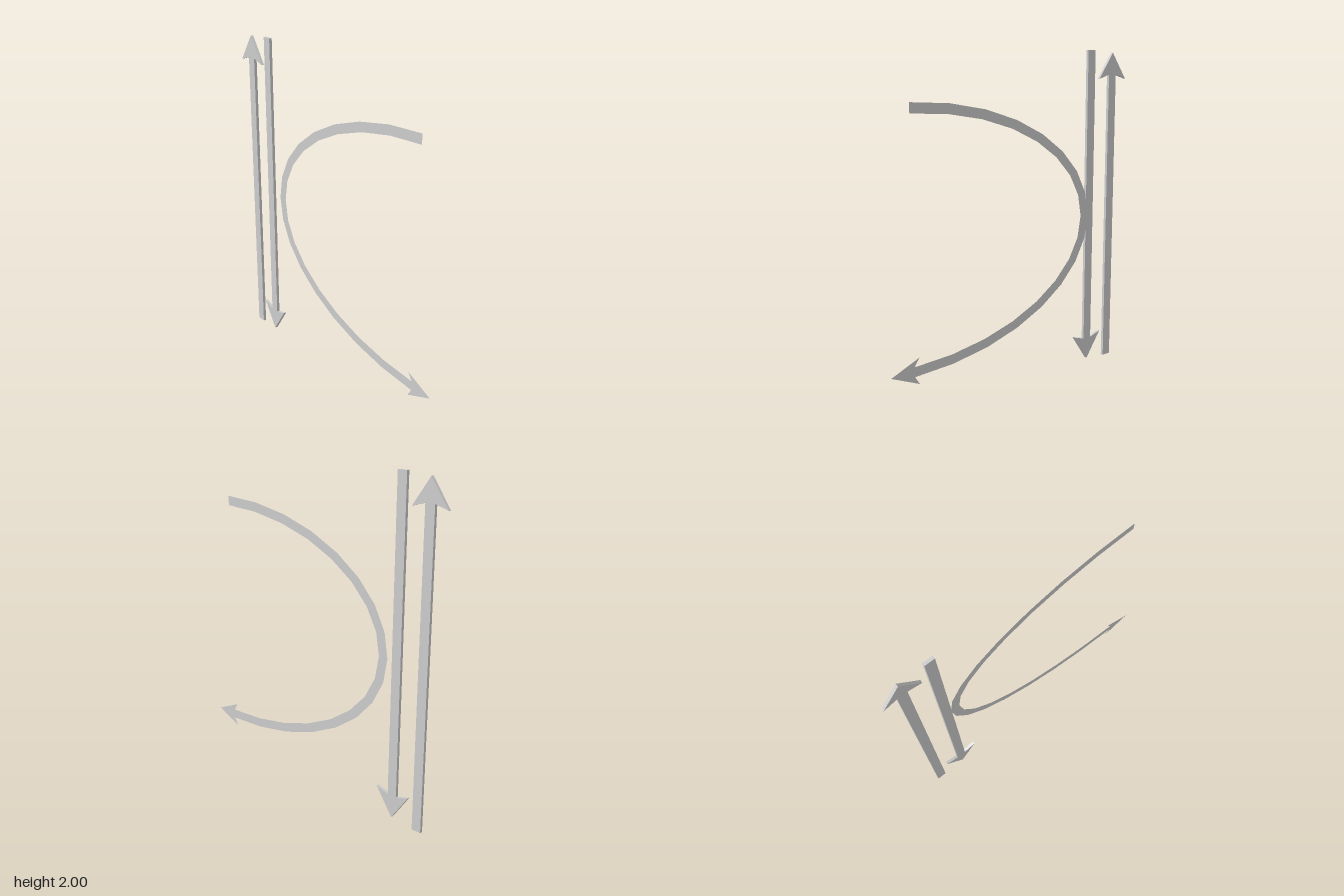
import * as THREE from 'three';

const STEM = 0.03; // half width of every stem

function outline(points) {
  return new THREE.Shape(points.map(([x, y]) => new THREE.Vector2(x, y)));
}

// Arrowhead outline from one side of the stem to the other, pointing along +y
function headPoints(base, tip, halfWidth, sweep) {
  return [[STEM, base], [halfWidth, base - sweep], [0, tip], [-halfWidth, base - sweep], [-STEM, base]];
}

export function createModel() {
  const group = new THREE.Group();
  group.name = 'arrows';
  const material = new THREE.MeshStandardMaterial({ color: 0xcccccc, flatShading: true, side: THREE.DoubleSide });

  const add = (name, geometry) => {
    const mesh = new THREE.Mesh(geometry, material);
    mesh.name = name;
    group.add(mesh);
    return mesh;
  };

  // Straight arrows: thin solid slabs, one up and one down
  const straight = (length, base) => new THREE.ExtrudeGeometry(
    outline([[-STEM, 0], [STEM, 0], ...headPoints(base, length, 0.113, 0.025)]),
    { depth: 0.018, bevelEnabled: false });
  add('upArrow', straight(1.985, 1.85)).position.set(-0.78, 0, 0.003);
  const down = add('downArrow', straight(1.985, 1.845));
  down.rotation.z = Math.PI;
  down.position.set(-0.6, 2, 0.004);

  // Curved arrow: flat half-ellipse band ending in an arrowhead
  const cx = 0.727, cy = 0.986, steps = 16;
  const arc = (rx, ry) => Array.from({ length: steps + 1 }, (_, i) => {
    const a = Math.PI * i / steps;
    return [cx - rx * Math.sin(a), cy + ry * Math.cos(a)];
  });
  const head = headPoints(0, 0.15, 0.077, 0.03).map(([x, y]) => [0.735 + y, 0.267 - x]);
  const curve = outline([...arc(1.287, 0.748), ...head, ...arc(1.227, 0.69).reverse()]);
  add('curvedArrow', new THREE.ShapeGeometry(curve)).position.z = -0.022;

  return group;
}
